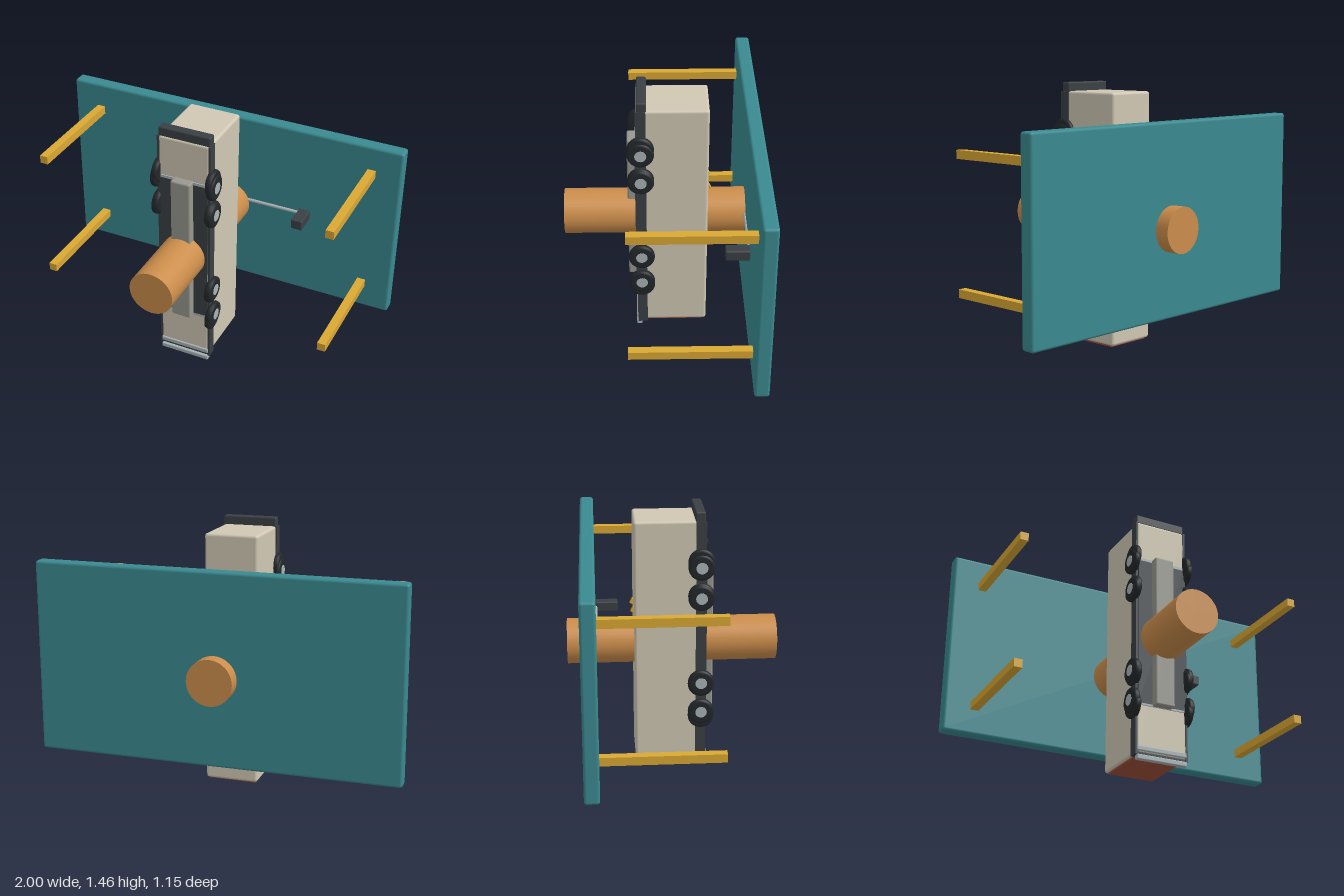
import * as THREE from 'three';
import { RoundedBoxGeometry } from 'three/addons/geometries/RoundedBoxGeometry.js';

const mat = (color) => new THREE.MeshStandardMaterial({ color });
const M = {
  teal: mat(0x3a8a90), gold: mat(0xdaa833), wood: mat(0xcb8d4b), cream: mat(0xd0c8b4),
  dark: mat(0x3a4044), tyre: mat(0x23272a), hub: mat(0xa9b4b6), grey: mat(0x98988f), red: mat(0xa0503a),
};

export function createModel() {
  const model = new THREE.Group();
  model.name = 'truckOnTable';

  const add = (name, geometry, material, x, y, z, parent = model) => {
    const mesh = new THREE.Mesh(geometry, material);
    mesh.name = name;
    mesh.position.set(x, y, z);
    parent.add(mesh);
    return mesh;
  };
  // Box given by its minimum and maximum on each axis, optionally rounded
  const box = (name, material, [x0, x1], [y0, y1], [z0, z1], r = 0, parent = model) => {
    const size = [x1 - x0, y1 - y0, z1 - z0];
    const geometry = r ? new RoundedBoxGeometry(...size, 3, r) : new THREE.BoxGeometry(...size);
    return add(name, geometry, material, (x0 + x1) / 2, (y0 + y1) / 2, (z0 + z1) / 2, parent);
  };

  // Table turned on its side, with four legs pointing forward
  const table = new THREE.Group();
  table.name = 'table';
  model.add(table);
  box('tableTop', M.teal, [-1, 1], [0.218, 1.268], [-0.496, -0.416], 0.015, table);
  for (const x of [-0.832, 0.832])
    for (const y of [0.38, 1.108])
      box('tableLeg', M.gold, [x - 0.023, x + 0.023], [y - 0.023, y + 0.023], [-0.42, 0.226], 0, table);

  // Log running through table and truck
  const log = new THREE.CylinderGeometry(0.125, 0.125, 1.15, 40).rotateX(Math.PI / 2);
  add('log', log, M.wood, 0, 0.703, 0);

  // Crank rod and handle
  const rod = new THREE.CylinderGeometry(0.01, 0.01, 0.4, 12).rotateZ(Math.PI / 2);
  add('crankRod', rod, M.hub, 0.26, 0.743, -0.415);
  box('crankHandle', M.dark, [0.434, 0.5], [0.714, 0.774], [-0.416, -0.286], 0.008);

  // Truck standing on end, its underside facing forward
  const truck = new THREE.Group();
  truck.name = 'truck';
  model.add(truck);
  box('body', M.cream, [-0.147, 0.147], [0.04, 1.412], [-0.209, 0.178], 0.015, truck);
  box('undersidePlate', M.dark, [-0.14, 0.14], [0.315, 1.165], [0.12, 0.184], 0, truck);
  box('spine', M.grey, [-0.057, 0.057], [0.305, 1.185], [0.17, 0.227], 0.01, truck);
  box('rearBumper', M.dark, [-0.149, 0.149], [1.405, 1.46], [0.12, 0.173], 0.008, truck);
  box('frontBumper', M.dark, [-0.149, 0.149], [0.03, 0.05], [0.122, 0.174], 0.005, truck);
  box('frontPanel', M.red, [-0.133, 0.133], [0.031, 0.045], [-0.185, 0.145], 0, truck);
  for (const y of [0.016, 0.064])
    box('bumperTrim', M.hub, [-0.146, 0.146], [y - 0.014, y + 0.014], [0.156, 0.186], 0.006, truck);
  for (const y of [0.312, 1.172])
    box('axleTrim', M.hub, [-0.135, 0.135], [y - 0.008, y + 0.008], [0.165, 0.184], 0, truck);
  for (const s of [-1, 1]) {
    const x = s * 0.148;
    box('sideSkirt', M.dark, [x - 0.006, x + 0.006], [0.03, 1.41], [0.124, 0.179], 0, truck);
    // Small pegs on the roof
    const peg = box('roofPeg', M.gold, [s * 0.07 - 0.012, s * 0.07 + 0.012], [0.888, 0.918], [-0.222, -0.195], 0, truck);
    peg.rotation.x = 0.5;
  }

  // Wheels: rounded tyre profile turned about the x axis, two tyres per station
  const tyreShape = (radius, w) => new THREE.LatheGeometry([
    [0, -w], [radius * 0.8, -w], [radius * 0.95, -w * 0.75], [radius, -w * 0.3],
    [radius, w * 0.3], [radius * 0.95, w * 0.75], [radius * 0.8, w], [0, w],
  ].map(([r, h]) => new THREE.Vector2(r, h)), 32).rotateZ(-Math.PI / 2);
  const tyre = tyreShape(0.072, 0.019);
  const hub = new THREE.CylinderGeometry(0.032, 0.032, 0.01, 20).rotateZ(Math.PI / 2);
  const stations = [
    { y: 1.162, inner: 1.19, x: 0.163 }, { y: 0.99, inner: 0.998, x: 0.159 },
    { y: 0.5, inner: 0.49, x: 0.159 }, { y: 0.33, inner: 0.303, x: 0.163 },
  ];
  for (const s of [-1, 1])
    for (const { y, inner, x } of stations) {
      const wheel = new THREE.Group();
      wheel.name = 'wheel';
      truck.add(wheel);
      add('outerTyre', tyre, M.tyre, s * x, y, 0.153, wheel);
      add('innerTyre', tyre, M.tyre, s * (x - 0.007), inner, 0.153, wheel);
      add('hub', hub, M.hub, s * (x + 0.016), y, 0.153, wheel);
    }

  return model;
}
